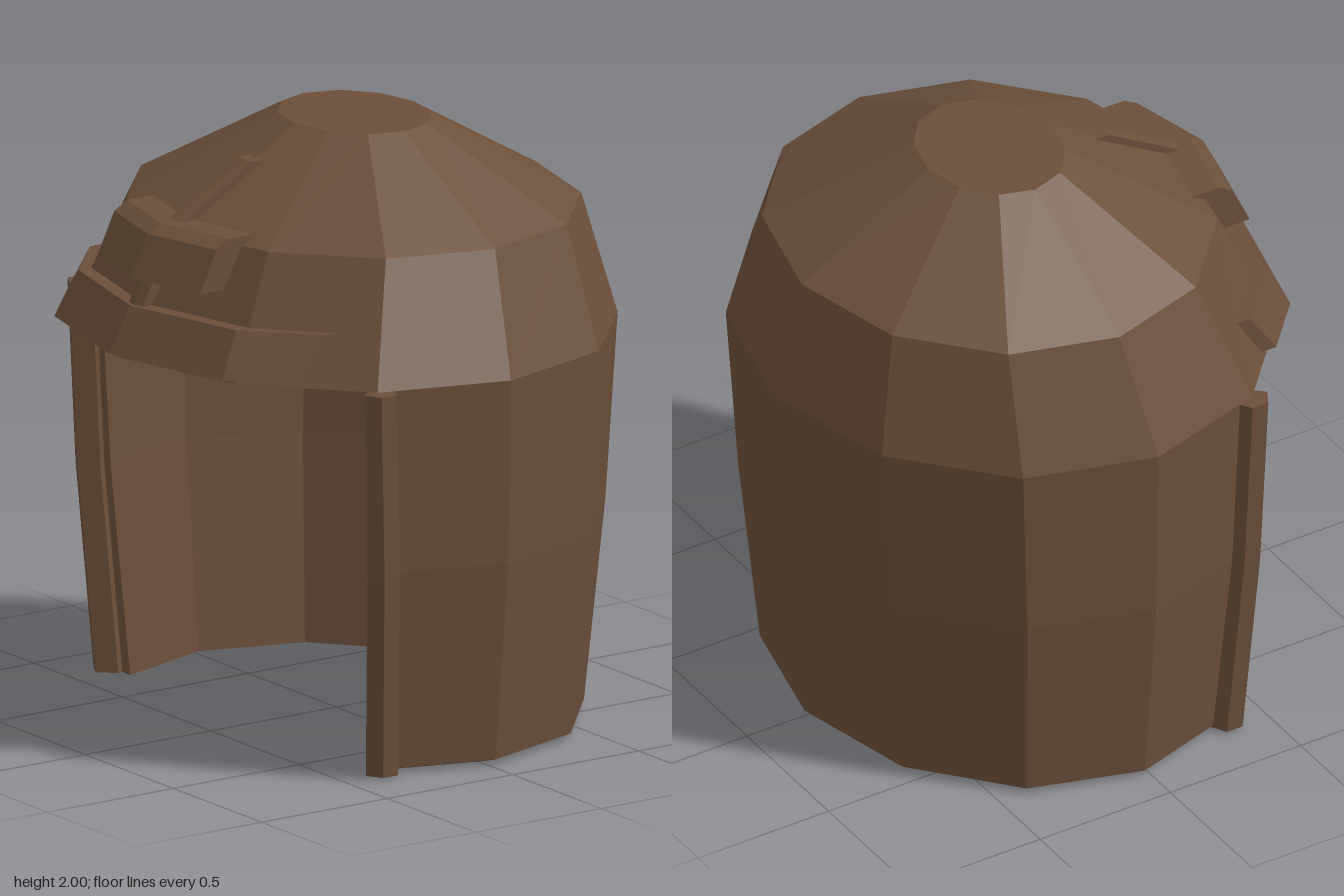
import * as THREE from 'three';

const material = new THREE.MeshStandardMaterial({ color: 0x6b4f3a, flatShading: true });
const SIDES = 12;

// Elliptical twelve-sided rings, bottom to top: y, x radius, z radius, z centre
const OUTER = [
  [0.02, 0.875, 0.76, -0.02], [0.7, 0.945, 0.83, -0.02], [1.32, 0.96, 0.88, -0.02],
  [1.72, 0.8, 0.72, -0.07], [2, 0.285, 0.235, -0.07],
];
const INNER = [
  [0, 0.81, 0.695, -0.02], [0.7, 0.88, 0.765, -0.02], [1.305, 0.9, 0.815, -0.02],
  [1.68, 0.75, 0.67, -0.07], [1.94, 0.27, 0.22, -0.07],
];
const BROW = 2; // ring at the top of the face opening

const ringPoint = ([y, rx, rz, cz], k) => {
  const a = (k * Math.PI * 2) / SIDES; // k = 0 at the front, turning toward +x
  return [rx * Math.sin(a), y, cz + rz * Math.cos(a)];
};

// Collects flat faces, given counter-clockwise, into one mesh
function faceBuilder() {
  const pos = [];
  const fan = (pts, flip = false) => {
    const p = flip ? [...pts].reverse() : pts;
    for (let i = 1; i < p.length - 1; i++) pos.push(...p[0], ...p[i], ...p[i + 1]);
  };
  const build = (name) => {
    const g = new THREE.BufferGeometry();
    g.setAttribute('position', new THREE.Float32BufferAttribute(pos, 3));
    g.computeVertexNormals();
    const mesh = new THREE.Mesh(g, material);
    mesh.name = name;
    return mesh;
  };
  return { fan, build };
}

// Hollow shell: full dome above the brow, open at the face below it
function shell() {
  const f = faceBuilder();
  const o = (i, k) => ringPoint(OUTER[i], k);
  const n = (i, k) => ringPoint(INNER[i], k);
  for (let k = 0; k < SIDES; k++) {
    const wall = k >= 2 && k < 10;
    for (let i = wall ? 0 : BROW; i < OUTER.length - 1; i++) {
      f.fan([o(i, k), o(i, k + 1), o(i + 1, k + 1), o(i + 1, k)]);
      f.fan([n(i, k), n(i, k + 1), n(i + 1, k + 1), n(i + 1, k)], true);
    }
    const r = wall ? 0 : BROW; // lower rim
    f.fan([o(r, k), n(r, k), n(r, k + 1), o(r, k + 1)]);
  }
  // front ends of the side walls
  for (let i = 0; i < BROW; i++) {
    f.fan([n(i, 2), o(i, 2), o(i + 1, 2), n(i + 1, 2)]);
    f.fan([n(i, 10), o(i, 10), o(i + 1, 10), n(i + 1, 10)], true);
  }
  // crown, outside and inside
  const ks = Array.from({ length: SIDES }, (_, k) => k);
  f.fan(ks.map((k) => o(4, k)));
  f.fan(ks.map((k) => n(4, k)), true);
  return f.build('helmetShell');
}

// Ring of the outer surface at any height
function ringAt(y) {
  let i = 0;
  while (i < OUTER.length - 2 && y > OUTER[i + 1][0]) i++;
  const [a, b] = [OUTER[i], OUTER[i + 1]];
  const t = (y - a[0]) / (b[0] - a[0]);
  return a.map((v, j) => v + (b[j] - v) * t);
}

// Depth of the shell's faceted front surface
function frontZ(x, y) {
  const ring = ringAt(y);
  const ax = Math.abs(x);
  let k = 0;
  while (k < 2 && ax > ringPoint(ring, k + 1)[0]) k++;
  const [p, q] = [ringPoint(ring, k), ringPoint(ring, k + 1)];
  return p[2] + ((q[2] - p[2]) * (ax - p[0])) / (q[0] - p[0]);
}

// Raised plate following the front; rows are [y, offset], xs(y) gives the columns
function plate(name, rows, xs) {
  const f = faceBuilder();
  const grid = (depth) => rows.map(([y, off]) =>
    xs(y).map((x) => [x, y, frontZ(x, y) + (depth ?? off)]));
  const F = grid();
  const B = grid(-0.02);
  const R = rows.length - 1;
  const C = F[0].length - 1;
  for (let c = 0; c < C; c++) {
    for (let r = 0; r < R; r++) {
      f.fan([F[r][c], F[r][c + 1], F[r + 1][c + 1], F[r + 1][c]]);
      f.fan([B[r][c], B[r][c + 1], B[r + 1][c + 1], B[r + 1][c]], true);
    }
    f.fan([B[0][c], B[0][c + 1], F[0][c + 1], F[0][c]]);
    f.fan([F[R][c], F[R][c + 1], B[R][c + 1], B[R][c]]);
  }
  for (let r = 0; r < R; r++) {
    f.fan([B[r][0], F[r][0], F[r + 1][0], B[r + 1][0]]);
    f.fan([F[r][C], B[r][C], B[r + 1][C], F[r + 1][C]]);
  }
  return f.build(name);
}

// Bevelled trim running down the front edge of a side wall
function cheekPost(name, s) {
  const f = faceBuilder();
  const section = [[0.785, 0.42], [0.835, 0.475], [0.89, 0.445], [0.89, 0.385], [0.82, 0.345]];
  const levels = [[0.01, -0.07, -0.055], [0.7, -0.015, -0.022], [1.32, 0, 0]];
  const rings = levels.map(([y, dx, dz]) => section.map(([x, z]) => [s * (x + dx), y, z + dz]));
  const flip = s < 0;
  for (let i = 0; i < 2; i++) {
    section.forEach((_, k) => {
      const m = (k + 1) % section.length;
      f.fan([rings[i][k], rings[i][m], rings[i + 1][m], rings[i + 1][k]], flip);
    });
  }
  f.fan(rings[2], flip);
  f.fan(rings[0], !flip);
  return f.build(name);
}

export function createModel() {
  const group = new THREE.Group();
  group.name = 'helmet';
  group.add(shell());

  // Brow ornaments
  group.add(plate('browBand', [[1.34, 0.055], [1.49, 0.05]], (y) => {
    const crease = ringAt(y)[1] / 2;
    return [-0.66, -crease, 0, crease, 0.66];
  }));
  group.add(plate('foreheadPlate', [[1.58, 0.095], [1.72, 0.1], [1.75, 0.1]], () => [-0.29, 0, 0.29]));
  group.add(plate('centreStrip', [[1.48, 0.035], [1.72, 0.045], [1.91, 0.05]], () => [-0.04, 0, 0.04]));

  group.add(cheekPost('leftCheekPost', 1), cheekPost('rightCheekPost', -1));
  return group;
}
